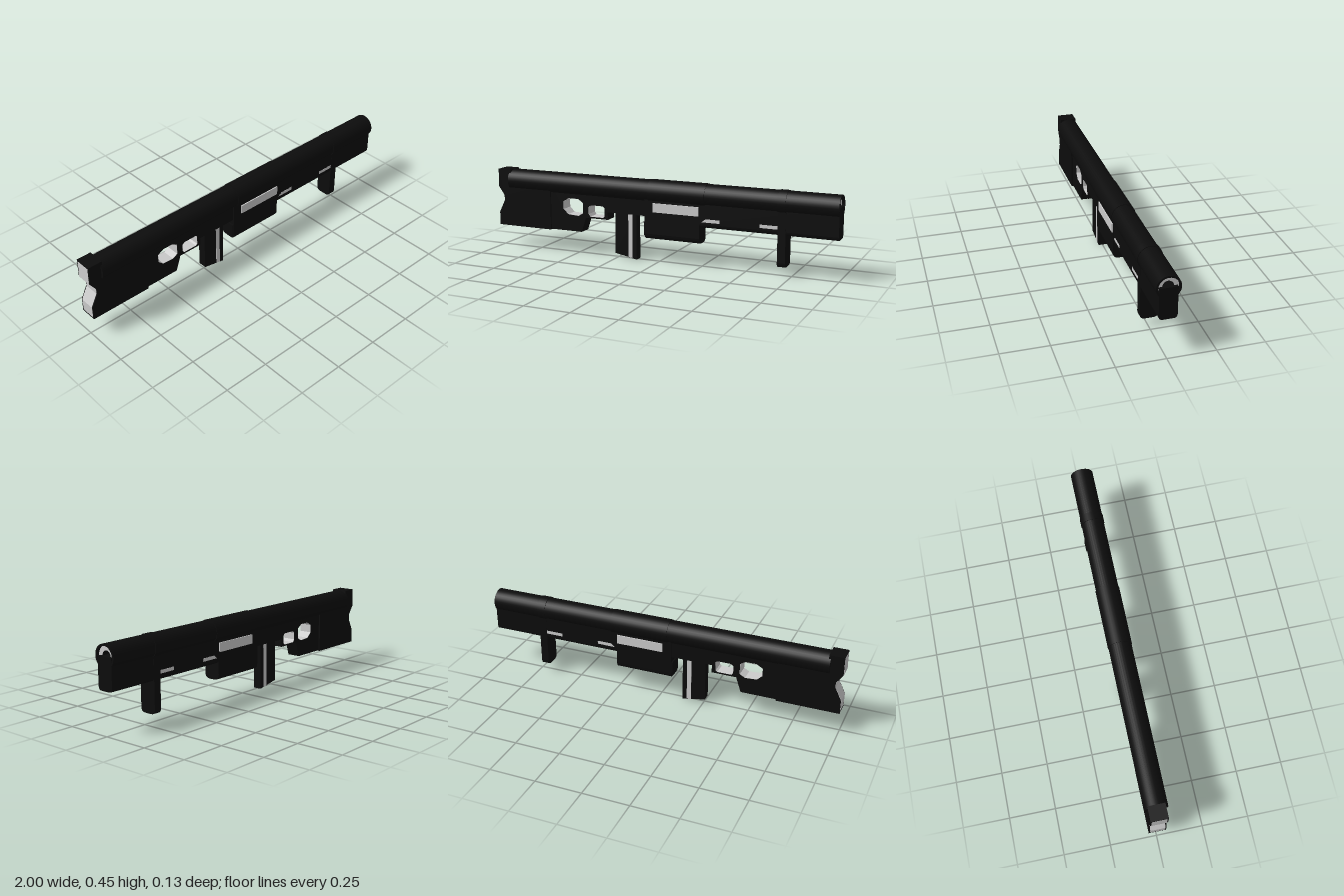
import * as THREE from 'three';

const black = new THREE.MeshStandardMaterial({ color: 0x0c0c0c, side: THREE.DoubleSide });
const grey = new THREE.MeshStandardMaterial({ color: 0xcccccc, side: THREE.DoubleSide });
const AXIS = 0.39;

export function createModel() {
  const model = new THREE.Group();

  const add = (name, geometry, material = black) => {
    const mesh = new THREE.Mesh(geometry, material);
    mesh.name = name;
    model.add(mesh);
    return mesh;
  };
  const toPoints = (pts) => pts.map(([x, y]) => new THREE.Vector2(x, y));

  // Side profile (x, y) given a thickness across z
  const plate = (name, pts, halfWidth, holes = [], material = black) => {
    const shape = new THREE.Shape(toPoints(pts));
    holes.forEach((h) => shape.holes.push(new THREE.Path(toPoints(h))));
    const g = new THREE.ExtrudeGeometry(shape, { depth: halfWidth * 2, bevelEnabled: false });
    return add(name, g.translate(0, 0, -halfWidth), material);
  };

  // Bar along x with rounded lower edges
  const bar = (name, x0, x1, top, bottom, w, r) => {
    const s = new THREE.Shape();
    s.moveTo(-w, top);
    s.lineTo(-w, bottom + r);
    s.quadraticCurveTo(-w, bottom, -w + r, bottom);
    s.lineTo(w - r, bottom);
    s.quadraticCurveTo(w, bottom, w, bottom + r);
    s.lineTo(w, top);
    const g = new THREE.ExtrudeGeometry(s, { depth: x1 - x0, bevelEnabled: false, curveSegments: 4 });
    return add(name, g.rotateY(Math.PI / 2).translate(x0, 0, 0));
  };

  // Lathed part along the x axis of the barrel; profile is [radius, x]
  const turned = (name, profile, material = black) => {
    const g = new THREE.LatheGeometry(toPoints(profile), 32);
    return add(name, g.rotateZ(-Math.PI / 2).translate(0, AXIS, 0), material);
  };
  const sleeve = (name, x0, x1, r) => turned(name, [[0, x0], [r, x0], [r, x0], [r, x1], [r, x1], [0, x1]]);

  // Barrel, muzzle and bands
  turned('barrel', [[0, -0.93], [0.062, -0.93], [0.062, -0.93], [0.062, 1], [0.062, 1], [0.052, 1], [0.052, 1], [0.052, 0.985]]);
  turned('muzzleRing', [[0.052, 0.985], [0.028, 0.985]], grey);
  turned('bore', [[0.028, 0.985], [0.028, 0.9], [0.028, 0.9], [0, 0.9]]);
  sleeve('middleSleeve', -0.05, 0.28, 0.065);
  sleeve('frontBand', 0.68, 0.725, 0.065);

  // Shoulder stock with a notched back, narrower neck and receiver
  plate('stock', [
    [-1, 0.125], [-0.66, 0.125], [-0.66, 0.39], [-0.92, 0.39], [-0.92, 0.452], [-1, 0.452],
    [-1, 0.35], [-0.965, 0.3], [-0.965, 0.27], [-1, 0.2],
  ], 0.046);
  plate('buttPad', [
    [-1.0, 0.132], [-0.99, 0.132], [-0.99, 0.2], [-0.96, 0.265], [-0.96, 0.305], [-0.99, 0.355], [-0.99, 0.445],
    [-1.0, 0.445], [-1.002, 0.35], [-0.967, 0.3], [-0.967, 0.27], [-1.002, 0.2],
  ], 0.04, [], grey);

  const thumbHole = [[-0.58, 0.25], [-0.55, 0.222], [-0.485, 0.218], [-0.455, 0.235], [-0.455, 0.295], [-0.485, 0.315], [-0.545, 0.315], [-0.58, 0.295]];
  const triggerHole = [[-0.42, 0.235], [-0.41, 0.22], [-0.33, 0.22], [-0.32, 0.228], [-0.32, 0.278], [-0.33, 0.286], [-0.405, 0.286], [-0.42, 0.275]];
  plate('receiver', [
    [-0.66, 0.128], [-0.465, 0.128], [-0.437, 0.212], [-0.3, 0.212], [-0.3, 0.255],
    [0.26, 0.255], [0.26, 0.39], [-0.66, 0.39],
  ], 0.037, [thumbHole, triggerHole]);

  // Pale linings inside the two openings
  const lining = (name, hole) => {
    const c = hole.reduce(([a, b], [x, y]) => [a + x / hole.length, b + y / hole.length], [0, 0]);
    const inner = hole.map(([x, y]) => [c[0] + (x - c[0]) * 0.97, c[1] + (y - c[1]) * 0.97]);
    plate(name, hole, 0.036, [inner], grey);
  };
  lining('thumbHoleLining', thumbHole);
  lining('triggerHoleLining', triggerHole);

  // Rear grip with a pale stripe on each side
  plate('grip', [[-0.26, 0.025], [-0.13, 0], [-0.13, 0.26], [-0.26, 0.26]], 0.023);
  plate('gripStripe', [[-0.18, 0.011], [-0.155, 0.006], [-0.155, 0.255], [-0.18, 0.255]], 0.0245, [], grey);

  // Lower housing, handguard and front grip
  bar('lowerHousing', -0.07, 0.25, 0.36, 0.13, 0.047, 0.03);
  bar('housingLip', -0.077, -0.06, 0.225, 0.14, 0.043, 0.028);
  bar('handguard', 0.24, 1, 0.39, 0.222, 0.046, 0.02);
  bar('frontGrip', 0.682, 0.725, 0.39, 0.052, 0.047, 0.025);

  // Pale side panels and handguard slots on both sides
  for (const side of [1, -1]) {
    const panel = add('sidePanel', new THREE.BoxGeometry(0.265, 0.05, 0.012), grey);
    panel.position.set(0.1125, 0.308, side * 0.047);
  }
  plate('rearSlot', [[0.262, 0.253], [0.365, 0.253], [0.365, 0.271], [0.285, 0.271]], 0.0468, [], grey);
  plate('frontSlot', [[0.585, 0.253], [0.682, 0.253], [0.682, 0.271], [0.585, 0.271]], 0.0468, [], grey);

  return model;
}
